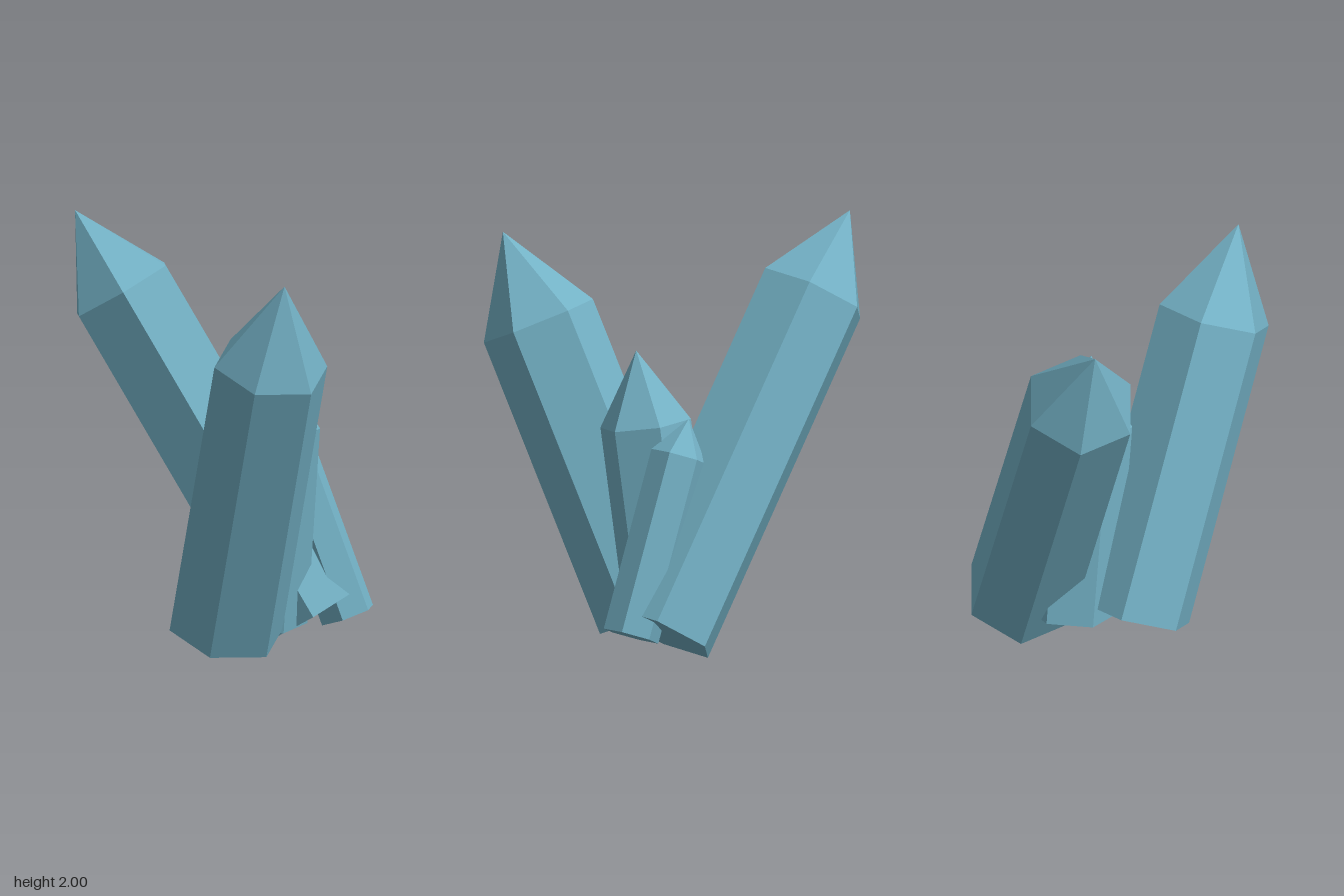
import * as THREE from 'three';

const crystalBlue = new THREE.MeshStandardMaterial({ color: 0x73b1c5 });
crystalBlue.name = 'crystalBlue';

// Six-sided prism with a pointed tip. base and shoulder are the ring centres,
// tip is the height of the point, and corner aims one edge of the prism.
function crystal(name, base, shoulder, tip, radius, corner) {
  const origin = new THREE.Vector3(...base);
  const axis = new THREE.Vector3(...shoulder).sub(origin);
  const length = axis.length();
  axis.normalize();
  const profile = [[0, 0], [radius, 0], [radius, length], [0, length + tip]]
    .map(([x, y]) => new THREE.Vector2(x, y));
  const geometry = new THREE.LatheGeometry(profile, 6).toNonIndexed();
  geometry.computeVertexNormals(); // flat facets

  const z = new THREE.Vector3(...corner);
  z.addScaledVector(axis, -z.dot(axis)).normalize();
  const x = new THREE.Vector3().crossVectors(axis, z);
  geometry.applyMatrix4(new THREE.Matrix4().makeBasis(x, axis, z).setPosition(origin));

  const mesh = new THREE.Mesh(geometry, crystalBlue);
  mesh.name = name;
  return mesh;
}

export function createModel() {
  const group = new THREE.Group();
  group.name = 'crystalCluster';
  group.add(
    crystal('backCrystal', [0.415, 0.138, -0.461], [-0.48, 1.635, -0.476], 0.426, 0.269, [0.22, 0.135, 0.076]),
    crystal('frontCrystal', [0.09, 0.135, -0.017], [0.385, 1.47, 0.473], 0.444, 0.272, [0.245, -0.01, -0.118]),
    crystal('middleCrystal', [0.207, 0.135, -0.288], [0.283, 1.07, -0.19], 0.343, 0.216, [0.2125, -0.013, -0.035]),
    crystal('smallCrystal', [0.585, 0.14, -0.455], [0.29, 0.95, -0.442], 0.181, 0.133, [0, 0, 1]),
  );
  return group;
}
